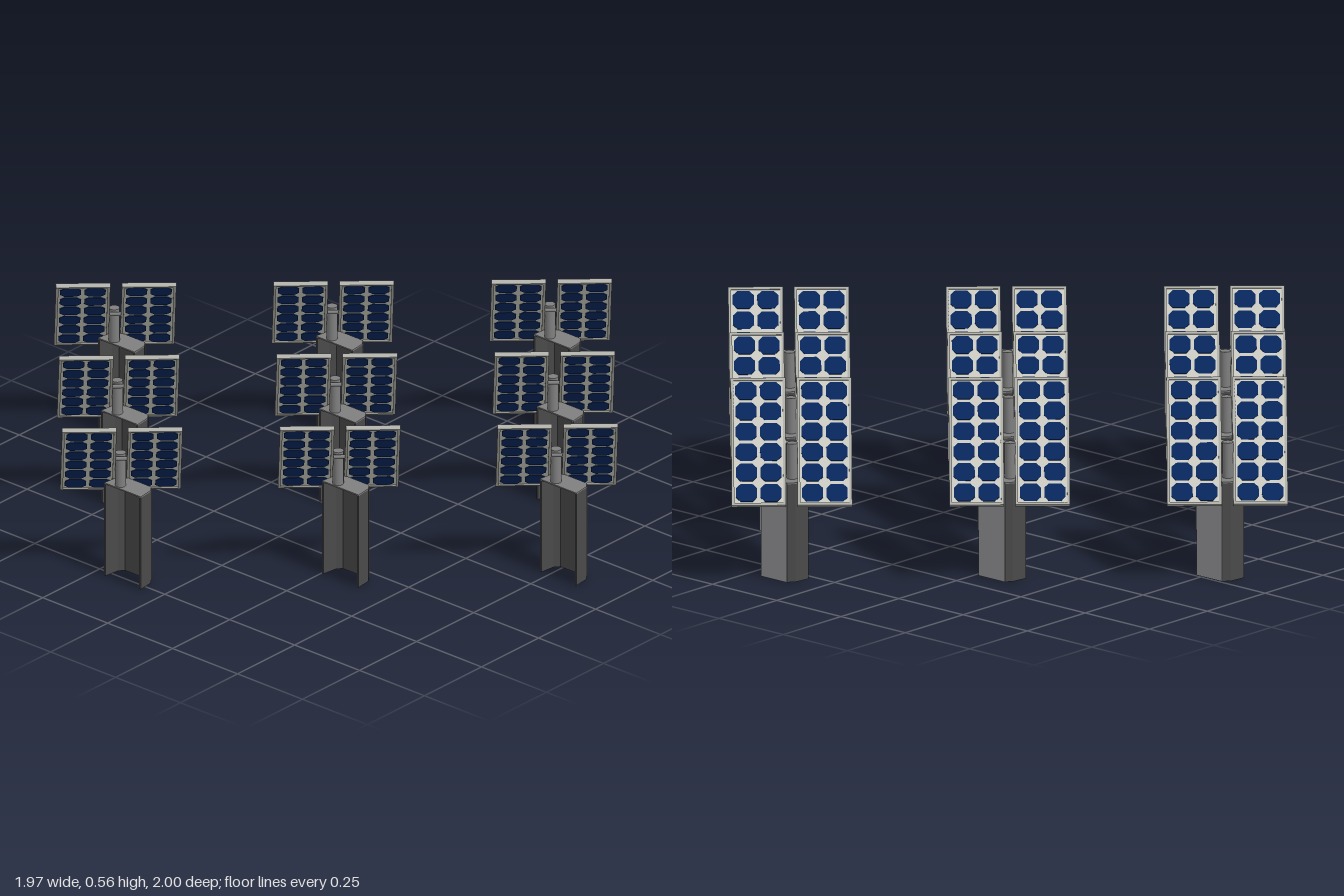
import * as THREE from 'three';

const mat = (name, color) => {
  const m = new THREE.MeshStandardMaterial({ color });
  m.name = name;
  return m;
};

const WIDTH = 0.158, LENGTH = 0.4, THICK = 0.014, RIM = 0.008;
const TILT = 0.89, TURN = -0.827, PIVOT = 0.398, POST = 0.295;

const polygon = (points) => new THREE.Shape(points.map(([x, y]) => new THREE.Vector2(x, y)));

const rect = (w, h) => polygon([[-w / 2, -h / 2], [w / 2, -h / 2], [w / 2, h / 2], [-w / 2, h / 2]]);

// extrude flat shapes into a horizontal slab centred on y = 0
function slab(shapes, depth) {
  const g = new THREE.ExtrudeGeometry(shapes, { depth, bevelEnabled: false });
  g.translate(0, 0, -depth / 2);
  g.rotateX(-Math.PI / 2);
  return g;
}

// cells with clipped corners, 2 across and 6 along
function cellShapes() {
  const shapes = [], cols = 2, rows = 6;
  const pw = (WIDTH - 2 * RIM) / cols, ph = (LENGTH - 2 * RIM) / rows;
  const w = pw / 2 - 0.005, h = ph / 2 - 0.0045, c = 0.013;
  for (let i = 0; i < cols; i++) {
    for (let j = 0; j < rows; j++) {
      const x = (i - (cols - 1) / 2) * pw, y = (j - (rows - 1) / 2) * ph;
      const corners = [
        [-w + c, -h], [w - c, -h], [w, -h + c], [w, h - c],
        [w - c, h], [-w + c, h], [-w, h - c], [-w, -h + c],
      ];
      shapes.push(polygon(corners.map(([a, b]) => [x + a, y + b])));
    }
  }
  return shapes;
}

export function createModel() {
  const webSteel = mat('light post steel', 0x9b9ca0);
  const flangeSteel = mat('dark post steel', 0x4a4a4b);
  const stemSteel = mat('stem steel', 0x808080);
  const frameGrey = mat('frame grey', 0xb2b2ad);
  const backing = mat('backing white', 0xcfcfc6);
  const cellBlue = mat('cell blue', 0x07275f);

  // shared panel geometry
  const frameShape = rect(WIDTH, LENGTH);
  frameShape.holes.push(rect(WIDTH - 2 * RIM, LENGTH - 2 * RIM));
  const frameGeo = slab(frameShape, THICK);
  const sheetGeo = slab(rect(WIDTH - 2 * RIM, LENGTH - 2 * RIM), 0.006);
  const cellGeo = slab(cellShapes(), 0.0098);

  // open channel post: dark folded section, light plate on its web, lid on top
  const outer = [[0, -0.075], [0.05, -0.069], [0.069, -0.055], [0.069, 0.045], [0.05, 0.06], [0, 0.066]];
  const inner = [[0, 0.06], [0.047, 0.054], [0.063, 0.041], [0.063, -0.051], [0.047, -0.063], [0, -0.069]];
  const postGeo = slab(polygon([...outer, ...inner]), POST);
  const webGeo = new THREE.BoxGeometry(0.002, POST, 0.1);
  const lidGeo = slab(polygon(outer), 0.004);
  const stemGeo = new THREE.CylinderGeometry(0.016, 0.016, 0.11, 16);
  const railGeo = new THREE.CylinderGeometry(0.006, 0.006, 0.05, 10).rotateZ(Math.PI / 2);

  const add = (parent, name, geo, material, x = 0, y = 0, z = 0) => {
    const m = new THREE.Mesh(geo, material);
    m.name = name;
    m.position.set(x, y, z);
    parent.add(m);
  };

  function tracker() {
    const unit = new THREE.Group();
    unit.name = 'solarTracker';
    add(unit, 'channelPost', postGeo, flangeSteel, 0, POST / 2, 0);
    add(unit, 'postWeb', webGeo, webSteel, 0.07, POST / 2, 0.005);
    add(unit, 'postLid', lidGeo, stemSteel, 0, POST + 0.002, 0);
    add(unit, 'stem', stemGeo, stemSteel, 0.019, POST + 0.055, -0.02);

    // twin panels tilted about the cross rail
    const turn = new THREE.Group();
    turn.name = 'panelMount';
    turn.rotation.y = TURN;
    turn.position.y = PIVOT;
    unit.add(turn);
    const tilt = new THREE.Group();
    tilt.name = 'tiltedPanels';
    tilt.rotation.x = -TILT;
    turn.add(tilt);
    add(tilt, 'crossRail', railGeo, stemSteel);
    for (const side of [-1, 1]) {
      const panel = new THREE.Group();
      panel.name = side < 0 ? 'rightPanel' : 'leftPanel';
      panel.position.x = side * 0.0955;
      add(panel, 'frame', frameGeo, frameGrey);
      add(panel, 'backingSheet', sheetGeo, backing);
      add(panel, 'cells', cellGeo, cellBlue);
      tilt.add(panel);
    }
    return unit;
  }

  // slanted three by three field
  const field = new THREE.Group();
  field.name = 'solarField';
  for (let i = -1; i <= 1; i++) {
    for (let j = -1; j <= 1; j++) {
      const unit = tracker();
      unit.position.set(-0.3475 * i + 0.425 * j, 0, 0.3175 * i + 0.465 * j);
      field.add(unit);
    }
  }
  return field;
}
